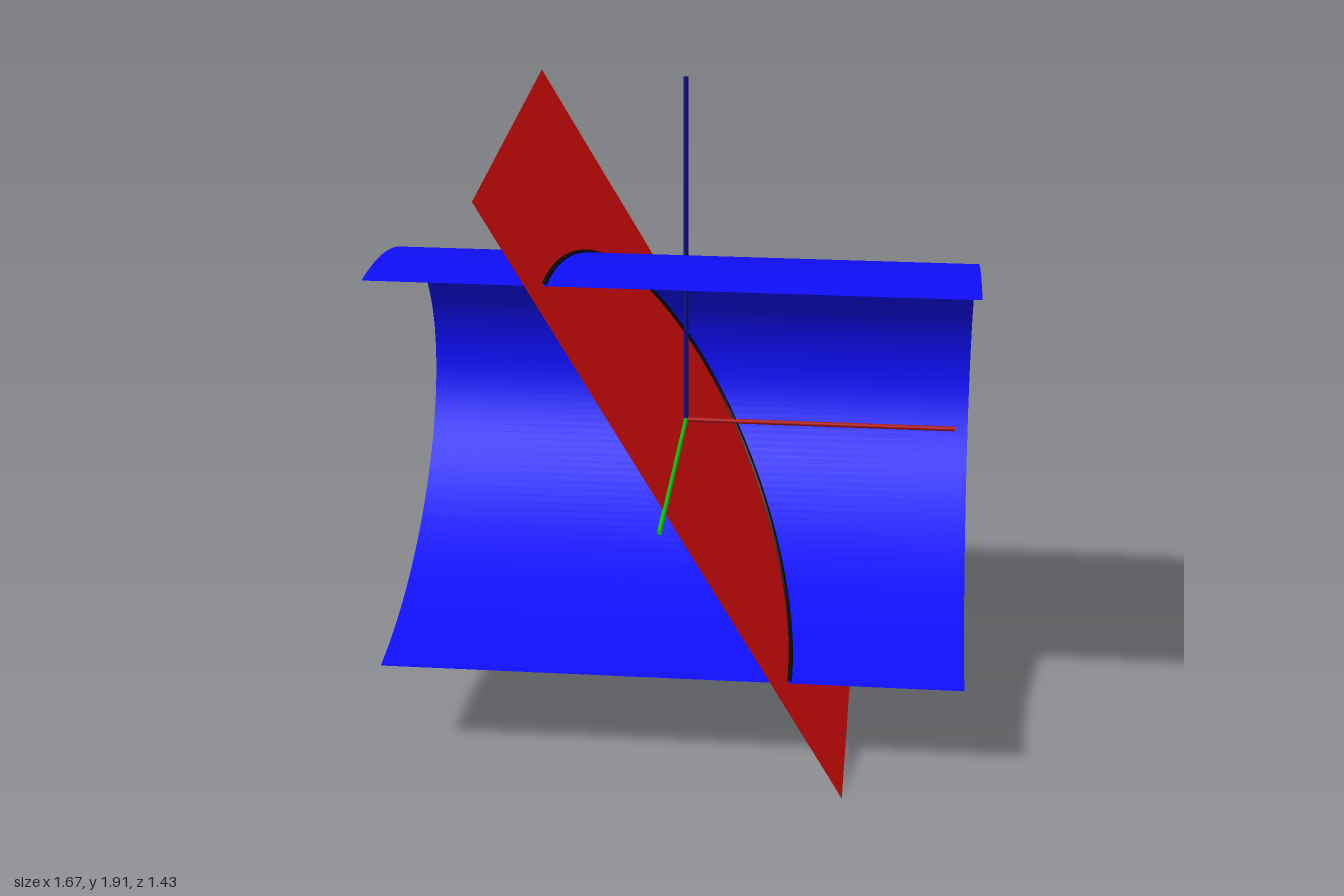
import * as THREE from 'three';

const CENTRE = new THREE.Vector3(-0.0175, 0.875, -0.09); // where the axes meet
const RY = 0.59, RZ = 1.015, RIM_Z = 0.415;              // half-ellipse section of the trough
const PLANE_W = 1.005, PLANE_H = 1.745;                  // run and rise of the tilted plane

function addMesh(group, name, geometry, color, side = THREE.FrontSide) {
  const mesh = new THREE.Mesh(geometry, new THREE.MeshStandardMaterial({ color, side }));
  mesh.name = name;
  group.add(mesh);
  return mesh;
}

export function createModel() {
  const group = new THREE.Group();
  group.name = 'cylinderCutByPlane';

  // open half-elliptic cylinder along x, hollow side to the front
  const shell = new THREE.CylinderGeometry(1, 1, 1.675, 96, 1, true, Math.PI / 2, Math.PI);
  shell.rotateZ(Math.PI / 2);
  shell.scale(1, RY, RZ);
  addMesh(group, 'halfCylinder', shell, 0x0f0fff, THREE.DoubleSide)
    .position.set(CENTRE.x, CENTRE.y, RIM_Z);

  // tilted flat sheet, sixty degrees from the ground
  const sheet = new THREE.PlaneGeometry(1.295, Math.hypot(PLANE_W, PLANE_H));
  sheet.rotateY(Math.PI / 2);
  sheet.rotateZ(Math.atan2(PLANE_W, PLANE_H));
  addMesh(group, 'cuttingPlane', sheet, 0xff1010, THREE.DoubleSide)
    .position.set(CENTRE.x, 0.8725, -0.0925);

  // curve where the sheet meets the cylinder
  const points = [];
  for (let i = 0; i <= 48; i++) {
    const a = -Math.PI / 2 + (Math.PI * i) / 48;
    const dy = RY * Math.sin(a);
    points.push(new THREE.Vector3(
      CENTRE.x - (dy * PLANE_W) / PLANE_H, CENTRE.y + dy, RIM_Z - RZ * Math.cos(a)));
  }
  const path = new THREE.CatmullRomCurve3(points);
  addMesh(group, 'intersectionCurve', new THREE.TubeGeometry(path, 120, 0.008, 10), 0x0a0a0a);

  // three axis rods from the common centre
  const rods = [
    ['xAxis', new THREE.Vector3(1, 0, 0), 0.79, 0xb01010],
    ['depthAxis', new THREE.Vector3(0, 0, 1), 0.78, 0x10c010],
    ['uprightAxis', new THREE.Vector3(0, 1, 0), 1.04, 0x10108a],
  ];
  for (const [name, dir, length, color] of rods) {
    const rod = addMesh(group, name, new THREE.CylinderGeometry(0.007, 0.007, length, 12), color);
    rod.quaternion.setFromUnitVectors(new THREE.Vector3(0, 1, 0), dir);
    rod.position.copy(CENTRE).addScaledVector(dir, length / 2);
  }

  return group;
}
